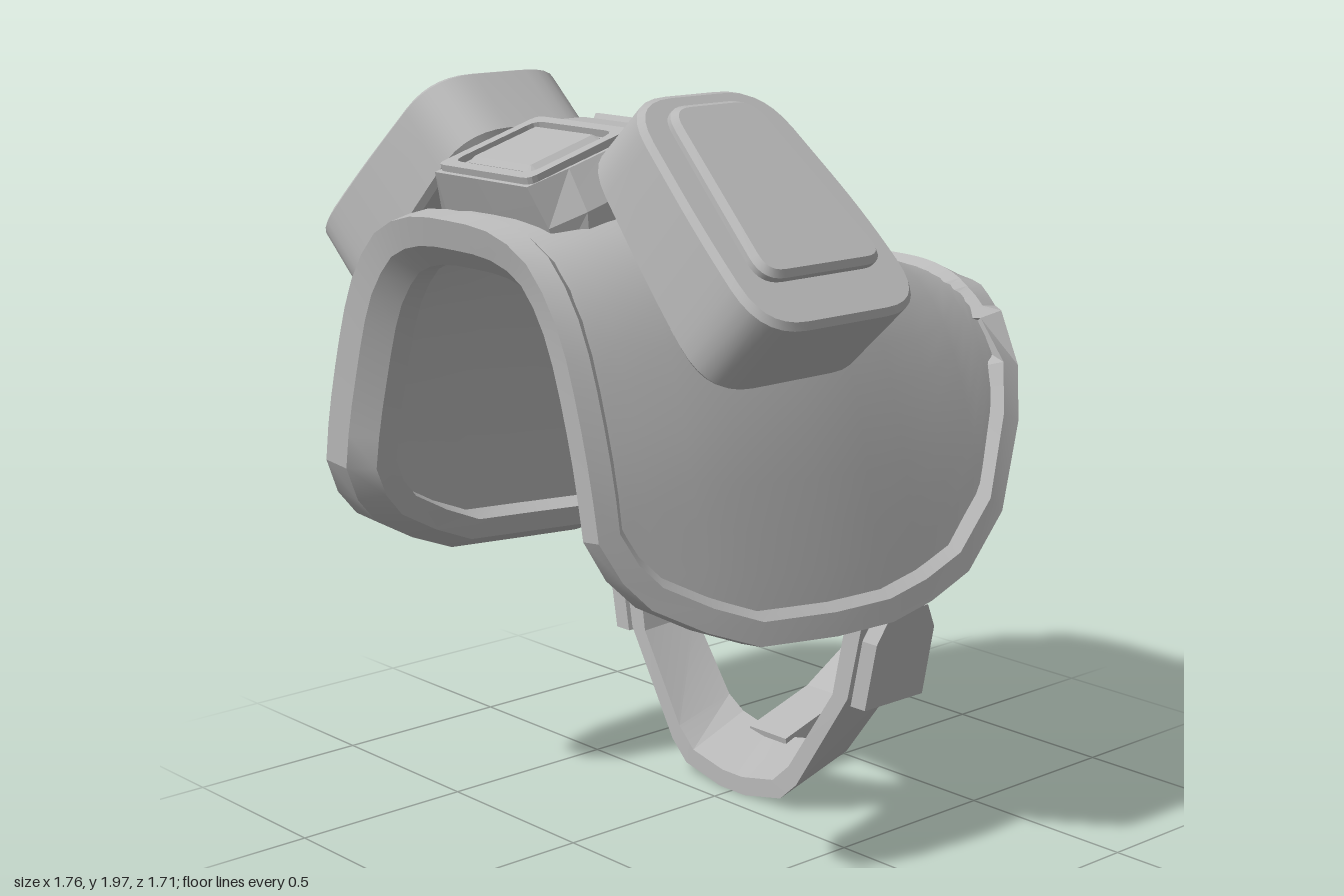
import * as THREE from 'three';
import { toCreasedNormals } from 'three/addons/utils/BufferGeometryUtils.js';

const V = (x, y, z) => new THREE.Vector3(x, y, z);

// Grid of points (rows of equal length) to an indexed geometry
function indexed(rings, index) {
  const g = new THREE.BufferGeometry().setFromPoints(rings.flat());
  g.setIndex(index);
  return g;
}

// Solid through closed cross-sections; wound outwards by its signed volume
function loft(rings, loop = false, crease = 0.4) {
  const n = rings.length, m = rings[0].length, idx = [];
  for (let i = 0; i < (loop ? n : n - 1); i++) for (let j = 0; j < m; j++) {
    const k = (i + 1) % n, l = (j + 1) % m;
    const a = i * m + j, b = i * m + l, c = k * m + l, d = k * m + j;
    idx.push(a, b, d, b, c, d);
  }
  if (!loop) for (let j = 1; j < m - 1; j++) {
    const e = (n - 1) * m;
    idx.push(0, j + 1, j, e, e + j, e + j + 1);
  }
  const p = rings.flat();
  let vol = 0;
  for (let i = 0; i < idx.length; i += 3)
    vol += p[idx[i]].dot(p[idx[i + 1]].clone().cross(p[idx[i + 2]]));
  if (vol < 0) idx.reverse();
  return toCreasedNormals(indexed(rings, idx), crease);
}

// Polygon with rounded corners
function rounded(pts, r, Type = THREE.Shape) {
  const s = new Type(), n = pts.length;
  pts.forEach((q, i) => {
    const p = new THREE.Vector2(...q);
    const toward = (o) => {
      const d = new THREE.Vector2(...o).sub(p);
      return p.clone().add(d.setLength(Math.min(r, d.length() / 2)));
    };
    const a = toward(pts[(i + n - 1) % n]), b = toward(pts[(i + 1) % n]);
    if (i) s.lineTo(a.x, a.y); else s.moveTo(a.x, a.y);
    s.quadraticCurveTo(p.x, p.y, b.x, b.y);
  });
  s.closePath();
  return s;
}
const rect = (w, h) => [[-w / 2, -h / 2], [w / 2, -h / 2], [w / 2, h / 2], [-w / 2, h / 2]];

export function createModel() {
  const model = new THREE.Group();
  const grey = new THREE.MeshStandardMaterial({ color: 0xb8b8b8 });
  grey.name = 'plain grey';
  const add = (name, geo, parent = model) => {
    const mesh = new THREE.Mesh(geo, grey);
    mesh.name = name;
    parent.add(mesh);
    return mesh;
  };

  // Shell: one arch profile (x, drop from crown), cut off at the lower edge of each station
  const arch = new THREE.CatmullRomCurve3([[-0.18, 0.01], [0, 0], [0.18, 0.01], [0.31, 0.055], [0.4, 0.14],
    [0.46, 0.24], [0.52, 0.4], [0.565, 0.56], [0.6, 0.75], [0.63, 0.93], [0.65, 1.08]].map(([x, d]) => V(x, d, 0)));
  const dense = arch.getPoints(300).filter((p) => p.x >= -1e-6);
  const along = [0];
  for (let i = 1; i < dense.length; i++) along.push(along[i - 1] + dense[i].distanceTo(dense[i - 1]));
  const at = (s) => {
    let i = 1;
    while (i < dense.length - 1 && along[i] < s) i++;
    return dense[i - 1].clone().lerp(dense[i], (s - along[i - 1]) / (along[i] - along[i - 1]));
  };
  // z, crown height, lower edge height, width factor
  const stations = [[0.8, 1.66, 1.0, 0.9], [0.76, 1.67, 0.92, 0.91], [0.7, 1.68, 0.86, 0.92],
    [0.57, 1.705, 0.79, 0.95], [0.43, 1.72, 0.73, 0.97], [0.2, 1.71, 0.71, 0.99], [0, 1.66, 0.7, 0.98],
    [-0.15, 1.6, 0.72, 0.97], [-0.3, 1.54, 0.755, 0.96], [-0.45, 1.48, 0.87, 0.95],
    [-0.58, 1.43, 1.06, 0.93], [-0.63, 1.415, 1.18, 0.93], [-0.65, 1.405, 1.29, 0.92]];
  const H = 12, C = 2 * H + 1, R = stations.length;
  const grid = stations.map(([z, top, low, w]) => {
    const end = along[dense.findIndex((p) => p.x > 0.01 && p.y >= top - low)];
    return Array.from({ length: C }, (_, c) => {
      const t = (c - H) / H, p = at(Math.abs(t) * end);
      return V(t ? Math.sign(t) * p.x * w : 0, top - p.y, z);
    });
  });
  const idx = [];
  for (let r = 0; r < R - 1; r++) for (let c = 0; c < C - 1; c++) {
    const a = r * C + c, d = a + C;
    idx.push(a, a + 1, d, a + 1, d + 1, d);
  }
  const outer = indexed(grid, idx);
  outer.computeVertexNormals();
  const nor = outer.attributes.normal;
  const normal = (r, c) => V(0, 0, 0).fromBufferAttribute(nor, r * C + c);
  add('outerShell', outer);
  const inner = indexed(grid.map((row, r) => row.map((p, c) => p.clone().addScaledVector(normal(r, c), -0.06))),
    idx.slice().reverse());
  inner.computeVertexNormals();
  add('innerShell', inner);

  // Rim: a thick band swept round the whole edge of the shell
  const edge = [];
  for (let c = 0; c < C - 1; c++) edge.push([0, c]);
  for (let r = 0; r < R - 1; r++) edge.push([r, C - 1]);
  for (let c = C - 1; c > 0; c--) edge.push([R - 1, c]);
  for (let r = R - 1; r > 0; r--) edge.push([r, 0]);
  const section = [[0.03, -0.005], [0.03, 0.055], [-0.045, 0.055], [-0.11, 0.01], [-0.12, -0.05], [-0.04, -0.06]];
  add('edgeRim', loft(edge.map(([r, c], i) => {
    const [pr, pc] = edge[(i + edge.length - 1) % edge.length], [nr, nc] = edge[(i + 1) % edge.length];
    const n = normal(r, c), p = grid[r][c];
    const tangent = V(0, 0, 0)
      .add(grid[nr][nc].clone().sub(p).normalize())
      .add(p.clone().sub(grid[pr][pc]).normalize());
    const out = tangent.cross(n).normalize();
    return section.map(([a, b]) => p.clone().addScaledVector(n, a).addScaledVector(out, b));
  }), true));

  // Chin strap: outer x, y, inner x, y, and lift of the rear edge
  const half = [[0.51, 0.76, 0.45, 0.76, 0], [0.43, 0.37, 0.375, 0.37, 0.01], [0.25, 0.085, 0.22, 0.13, 0.05],
    [0.19, 0.03, 0.16, 0.075, 0.07], [0.05, 0, 0.04, 0.05, 0.07]];
  const strapRing = (s) => ([ox, oy, ix, iy, k]) => {
    const f = -0.065 - 0.03 * oy, b = -0.255 - 0.03 * oy;
    return [V(s * ox, oy, f), V(s * ox, oy + k, b), V(s * ix, iy + k, b), V(s * ix, iy, f)];
  };
  add('chinStrap', loft([...half.map(strapRing(1)), ...half.slice().reverse().map(strapRing(-1))], false, 0.2));

  // Rear strap: outer z, y then inner z, y
  const rear = [[-0.6, 1.33, -0.6, 1.27], [-0.68, 1.275, -0.65, 1.22], [-0.79, 1.14, -0.745, 1.11],
    [-0.85, 0.96, -0.8, 0.95], [-0.845, 0.6, -0.8, 0.6], [-0.8, 0.455, -0.755, 0.475],
    [-0.635, 0.25, -0.61, 0.295], [-0.46, 0.15, -0.445, 0.195], [-0.23, 0.075, -0.22, 0.125]];
  add('rearStrap', loft(rear.map(([oz, oy, iz, iy]) =>
    [V(-0.095, oy, oz), V(0.05, oy, oz), V(0.05, iy, iz), V(-0.095, iy, iz)]), false, 0.2));

  // Buckles on the chin strap
  const hex = [[-0.075, 0.355], [-0.29, 0.355], [-0.29, 0.55], [-0.25, 0.62], [-0.115, 0.62], [-0.078, 0.54]];
  for (const s of [1, -1])
    add(s > 0 ? 'leftBuckle' : 'rightBuckle', loft([0, 0.052].map((o) =>
      hex.map(([z, y]) => V(s * (0.442 + 0.2 * (y - 0.35) + o), y, z)))));

  // Crown block: z at top, z at bottom, height, half widths at top and bottom
  const block = [[0.76, 0.68, 1.765, 0.18, 0.21], [0.64, 0.62, 1.8, 0.19, 0.245], [0.42, 0.42, 1.862, 0.19, 0.245],
    [0.28, 0.28, 1.862, 0.19, 0.245], [0.1, 0.1, 1.758, 0.19, 0.245], [0, 0, 1.7, 0.18, 0.2]];
  add('crownBlock', loft(block.map(([zt, zb, y, ht, hb]) => {
    const mid = Math.max(y - 0.1, 1.65), zm = (zt + zb) / 2;
    return [V(-hb, 1.58, zb), V(-hb, mid, zm), V(-ht, y, zt), V(ht, y, zt), V(hb, mid, zm), V(hb, 1.58, zb)];
  }), false, 0.1));

  // Framed panels on the two slopes of the block
  for (const [name, y, z, tilt, len] of [['front', 1.812, 0.59, 0.286, 0.33], ['rear', 1.78, 0.14, -0.53, 0.3]]) {
    const g = new THREE.Group();
    g.name = name + 'CrownPanel';
    g.position.set(0, y, z);
    g.rotation.x = tilt - Math.PI / 2;
    const frame = rounded(rect(0.36, len), 0.025);
    frame.holes.push(rounded(rect(0.3, len - 0.06), 0.03, THREE.Path));
    add('panelFrame', new THREE.ExtrudeGeometry(frame, { depth: 0.02, bevelEnabled: false, curveSegments: 3 }), g);
    add('panelPad', new THREE.ExtrudeGeometry(rounded(rect(0.25, len - 0.1), 0.015), { depth: 0.01, bevelSize: 0.015,
      bevelThickness: 0.012, bevelOffset: -0.015, bevelSegments: 1, curveSegments: 2 }), g);
    model.add(g);
  }

  // Side pods: tapered rounded boxes leaning outwards, each with a raised face
  const body = [[0, 0.63], [0, 0.19], [0.42, 0.125], [0.7, 0.125], [0.7, 0.66], [0.42, 0.66]];
  const face = [[0.05, 0.55], [0.05, 0.27], [0.57, 0.19], [0.57, 0.59]];
  const D = V(0.67, -0.742, 0), N = V(0.742, 0.67, 0);
  const flip = V(-1, 1, 1);
  for (const s of [1, -1]) {
    const pod = new THREE.Group();
    pod.name = s > 0 ? 'leftPod' : 'rightPod';
    const d = D.clone(), n = N.clone();
    if (s < 0) { d.multiply(flip); n.multiply(flip); }
    pod.quaternion.setFromRotationMatrix(new THREE.Matrix4().makeBasis(d, V(0, 0, -s), n));
    pod.position.set(s * 0.22, 1.84, 0);
    const slab = (pts, r, z0, z1, bevel) => {
      const g = new THREE.ExtrudeGeometry(rounded(pts.map(([a, z]) => [a, -s * z]), r), {
        depth: z1 - z0 - 0.06, bevelThickness: 0.06, bevelSize: bevel, bevelOffset: -bevel,
        bevelSegments: 1, curveSegments: 7 });
      g.translate(0, 0, z0);
      const p = g.attributes.position;
      // thickness grows towards the lower end
      for (let i = 0; i < p.count; i++) p.setZ(i, p.getZ(i) * (0.21 + 0.09 * p.getX(i)));
      return toCreasedNormals(g, 0.5);
    };
    add('podBody', slab(body, 0.14, 0.06, 1, 0.015), pod);
    add('podFace', slab(face, 0.07, 0.95, 1.12, 0.015), pod);
    add('podMount', new THREE.BoxGeometry(0.28, 0.3, 0.14), pod).position.set(0.33, -s * 0.4, -0.03);
    model.add(pod);
  }
  return model;
}
